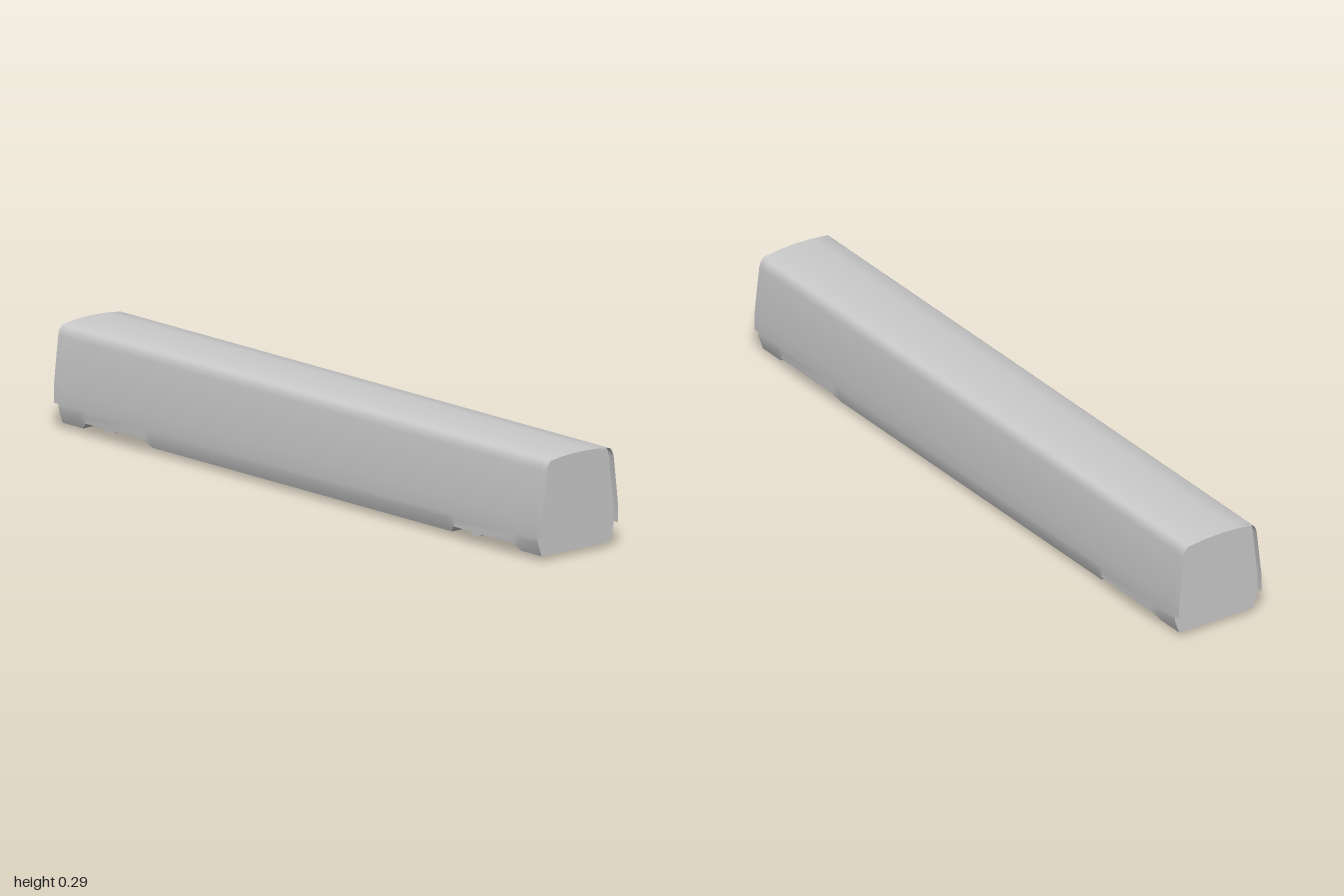
import * as THREE from 'three';
import { toCreasedNormals } from 'three/addons/utils/BufferGeometryUtils.js';

const grey = new THREE.MeshStandardMaterial({ color: 0xcccccc });
const greyThin = new THREE.MeshStandardMaterial({ color: 0xcccccc, side: THREE.DoubleSide });

// Half cross-section, from the roof centre down the left side
const upper = [[0, 0.292], [0.055, 0.290], [0.105, 0.284], [0.112, 0.279], [0.118, 0.268],
  [0.121, 0.255], [0.128, 0.195], [0.137, 0.115], [0.137, 0.07]];
const lowerPlain = [[0.1365, 0.055], [0.122, 0.015], [0.12, 0.015], [0.118, 0.015]];
const lowerWell = [[0.1365, 0.055], [0.137, 0.036], [0.131, 0.036], [0.129, 0.05]];

const mirrored = (half) => half.slice(1).reverse().map(([x, y]) => [-x, y]);

// Joins cross-sections along z; sections are { z, pts }
function loft(sections, closed) {
  const n = sections[0].pts.length, pos = [], index = [];
  for (const { z, pts } of sections) for (const [x, y] of pts) pos.push(x, y, z);
  for (let k = 0; k < sections.length - 1; k++) {
    for (let i = 0; i < (closed ? n : n - 1); i++) {
      const j = (i + 1) % n;
      const a = k * n + i, b = k * n + j, c = b + n, d = a + n;
      index.push(a, d, c, a, c, b);
    }
  }
  if (closed) {
    const last = (sections.length - 1) * n;
    for (let i = 1; i < n - 1; i++) index.push(0, i, i + 1, last, last + i + 1, last + i);
  }
  const geo = new THREE.BufferGeometry();
  geo.setAttribute('position', new THREE.Float32BufferAttribute(pos, 3));
  geo.setIndex(index);
  return toCreasedNormals(geo, 0.6);
}

function add(parent, name, geo, x = 0, y = 0, z = 0, material = grey) {
  const mesh = new THREE.Mesh(geo, material);
  mesh.name = name;
  mesh.position.set(x, y, z);
  parent.add(mesh);
  return mesh;
}

export function createModel() {
  const car = new THREE.Group();
  car.name = 'railCar';

  // Body with two bogie wells recessed into its underside
  const ring = (lower) => {
    const half = [...upper, ...lower];
    return [...half, ...mirrored(half)];
  };
  const stations = [[-0.98, 0], [-0.897, 0], [-0.87, 1], [-0.635, 1], [-0.613, 0],
    [0.613, 0], [0.635, 1], [0.87, 1], [0.897, 0], [0.98, 0]];
  add(car, 'body', loft(stations.map(([z, well]) => ({ z, pts: ring(well ? lowerWell : lowerPlain) })), true));

  // Thin edge of roof and sides standing out past each end wall
  const rim = [...mirrored(upper), ...upper];
  for (const [name, z0, z1] of [['frontRim', 0.98, 1], ['backRim', -1, -0.98]]) {
    add(car, name, loft([{ z: z0, pts: rim }, { z: z1, pts: rim }], false), 0, 0, 0, greyThin);
  }

  // Bogies: thin wheels joined by a narrow side frame
  const wheel = new THREE.CylinderGeometry(0.043, 0.043, 0.007, 32).rotateZ(Math.PI / 2);
  const frame = new THREE.BoxGeometry(0.006, 0.04, 0.2);
  for (const end of [1, -1]) {
    const bogie = new THREE.Group();
    bogie.name = end > 0 ? 'frontBogie' : 'backBogie';
    bogie.position.z = end * 0.75;
    for (const side of [1, -1]) {
      add(bogie, 'sideFrame', frame, side * 0.064, 0.038, 0);
      for (const dz of [-0.1, 0.1]) add(bogie, 'wheel', wheel, side * 0.064, 0.043, dz);
    }
    car.add(bogie);
  }
  return car;
}
